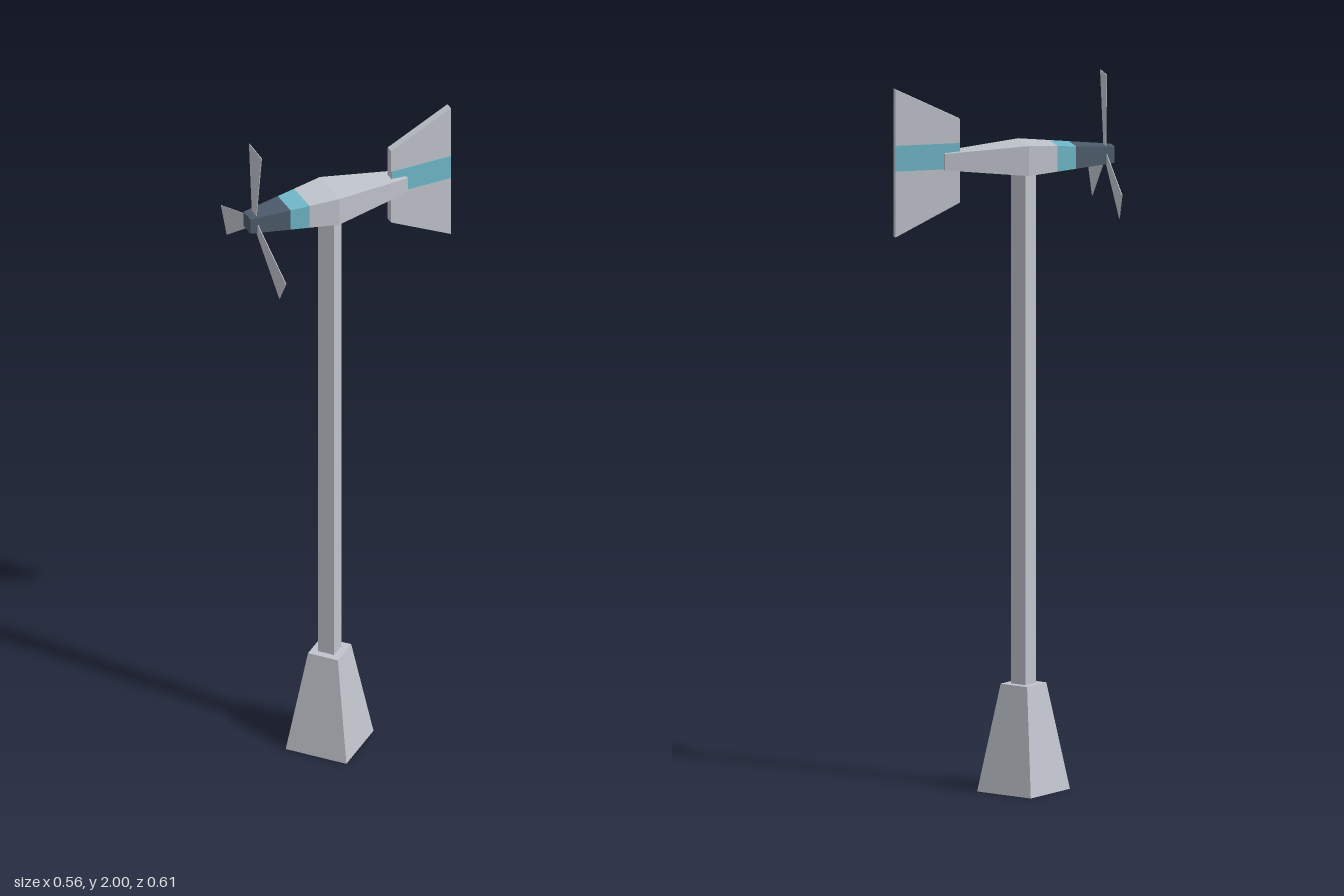
import * as THREE from 'three';

const paint = (name, color) => {
  const m = new THREE.MeshStandardMaterial({ color });
  m.name = name;
  return m;
};

// Box along z whose width and height differ at its back and front ends
function taperedBox(back, front) {
  const [zb, wb, hb] = back, [zf, wf, hf] = front;
  const geo = new THREE.BoxGeometry(1, 1, 1);
  const p = geo.attributes.position;
  for (let i = 0; i < p.count; i++) {
    const f = p.getZ(i) > 0;
    p.setXYZ(i, p.getX(i) * (f ? wf : wb), p.getY(i) * (f ? hf : hb), f ? zf : zb);
  }
  const flat = geo.toNonIndexed();
  flat.computeVertexNormals();
  return flat;
}

export function createModel() {
  const grey = paint('light grey', 0xc0c4cc);
  const teal = paint('teal', 0x70b8c9);
  const dark = paint('dark slate', 0x4c5b6b);
  const model = new THREE.Group();
  model.name = 'windTurbine';

  const add = (parent, name, geo, mat) => {
    const mesh = new THREE.Mesh(geo, mat);
    mesh.name = name;
    parent.add(mesh);
    return mesh;
  };

  // Tower: square tapered foot and square pole
  const tower = new THREE.Group();
  tower.name = 'tower';
  tower.position.set(0.037, 0, -0.018);
  model.add(tower);
  const foot = add(tower, 'foot', taperedBox([0, 0.183, 0.183], [0.3, 0.09, 0.09]), grey);
  foot.rotation.x = -Math.PI / 2;
  const pole = add(tower, 'pole', new THREE.BoxGeometry(0.049, 1.46, 0.049), grey);
  pole.position.y = 1.02;

  // Head: everything that turns with the wind
  const head = new THREE.Group();
  head.name = 'head';
  head.position.set(0.037, 1.772, -0.018);
  head.rotation.y = THREE.MathUtils.degToRad(-40);
  model.add(head);

  // Nacelle sections, widest above the pole: [z, width, height]
  const end = [0.253, 0.045, 0.046], mid = [0, 0.124, 0.084], tail = [-0.2285, 0.045, 0.046];
  const at = (z) => [z, ...[1, 2].map((k) => THREE.MathUtils.lerp(mid[k], end[k], z / end[0]))];
  add(head, 'nacelleTail', taperedBox(tail, mid), grey);
  add(head, 'nacelleBody', taperedBox(mid, at(0.085)), grey);
  add(head, 'nacelleBand', taperedBox(at(0.085), at(0.139)), teal);
  add(head, 'nacelleNose', taperedBox(at(0.139), end), dark);

  // Tail fin, taller at its rear, with a stripe on each side
  add(head, 'tailFin', taperedBox([-0.366, 0.022, 0.414], [-0.183, 0.022, 0.234]), grey);
  for (const side of [-1, 1]) {
    const stripe = add(head, 'finStripe', new THREE.BoxGeometry(0.002, 0.072, 0.183), teal);
    stripe.position.set(side * 0.0112, 0.014, -0.2745);
  }

  // Rotor: three thin blades that widen toward the tip
  const rotor = new THREE.Group();
  rotor.name = 'rotor';
  rotor.position.z = 0.231;
  rotor.rotation.set(THREE.MathUtils.degToRad(-1), THREE.MathUtils.degToRad(-1.7), 0);
  head.add(rotor);
  const outline = new THREE.Shape([
    new THREE.Vector2(-0.012, 0), new THREE.Vector2(0.012, 0),
    new THREE.Vector2(0.0415, 0.228), new THREE.Vector2(-0.0415, 0.228),
  ]);
  const bladeGeo = new THREE.ExtrudeGeometry(outline, { depth: 0.002, bevelEnabled: false });
  bladeGeo.translate(0, 0, -0.001);
  for (let i = 0; i < 3; i++) {
    add(rotor, 'blade', bladeGeo, grey).rotation.z = (i * Math.PI * 2) / 3;
  }

  return model;
}
